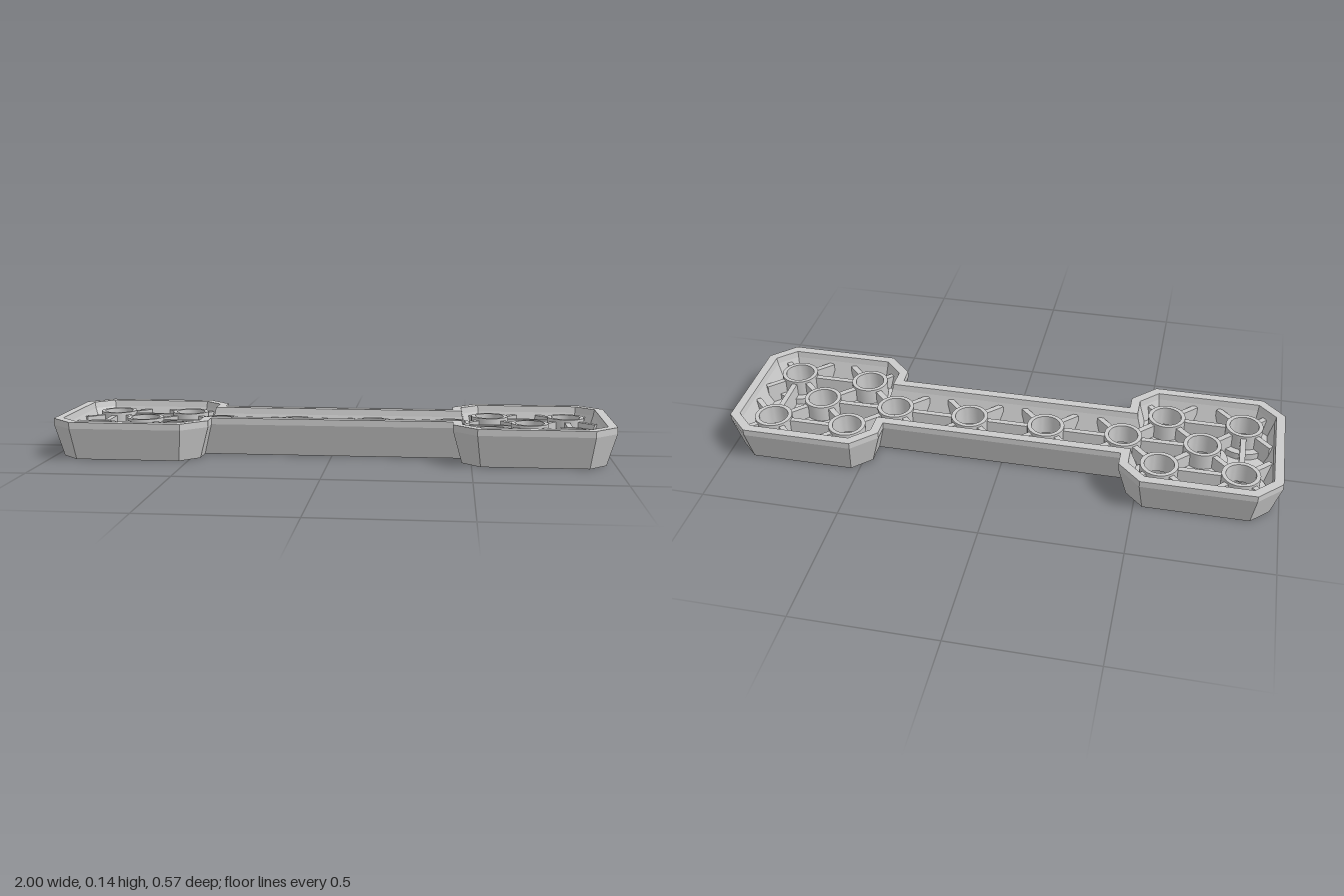
import * as THREE from 'three';
import { toCreasedNormals } from 'three/addons/utils/BufferGeometryUtils.js';

const material = new THREE.MeshStandardMaterial({ color: 0xcccccc });
const FLOOR = 0.03, RIB_TOP = 0.105, BOSS_TOP = 0.115, BOSS_R = 0.068, SEAT_R = 0.095;

// Dumbbell outline at the rim: one quarter, mirrored into a counter-clockwise loop
const quarter = [[1, 0.2], [0.917, 0.283], [0.518, 0.283], [0.435, 0.2], [0.435, 0.139]];
const half = [...quarter, ...quarter.map(([x, y]) => [-x, y]).reverse()];
const outline = [...half, ...half.map(([x, y]) => [-x, -y])];

// Outline moved inward by d, with mitred corners
function inset(d) {
  const n = outline.length;
  const normal = (a, b) => {
    const l = Math.hypot(b[0] - a[0], b[1] - a[1]);
    return [-(b[1] - a[1]) / l, (b[0] - a[0]) / l];
  };
  return outline.map((p, i) => {
    const u = normal(outline[(i + n - 1) % n], p), v = normal(p, outline[(i + 1) % n]);
    const k = d / (1 + u[0] * v[0] + u[1] * v[1]);
    return [p[0] + (u[0] + v[0]) * k, p[1] + (u[1] + v[1]) * k];
  });
}

// Skin through stacked outlines given as [inset, height]
function wallGeometry(levels) {
  const pos = [], idx = [], n = outline.length;
  for (const [d, y] of levels) for (const p of inset(d)) pos.push(p[0], y, -p[1]);
  for (let l = 0; l < levels.length - 1; l++) {
    for (let i = 0; i < n; i++) {
      const a = l * n + i, b = l * n + (i + 1) % n;
      idx.push(a, b, b + n, a, b + n, a + n);
    }
  }
  const indexed = new THREE.BufferGeometry();
  indexed.setAttribute('position', new THREE.Float32BufferAttribute(pos, 3));
  indexed.setIndex(idx);
  const geometry = indexed.toNonIndexed();
  geometry.computeVertexNormals();
  return geometry;
}

// Hole centres [x, z]
const holes = [];
for (const s of [-1, 1]) {
  for (const x of [0.143, 0.428, 0.714]) holes.push([s * x, 0]);
  for (const x of [0.573, 0.857]) for (const z of [-0.143, 0.143]) holes.push([s * x, z]);
}

export function createModel() {
  const group = new THREE.Group();
  const add = (name, geometry, parent = group) => {
    const mesh = new THREE.Mesh(geometry, material);
    mesh.name = name;
    parent.add(mesh);
    return mesh;
  };
  const subgroup = (name) => {
    const g = new THREE.Group();
    g.name = name;
    group.add(g);
    return g;
  };

  // Flared outer wall, rim and tapered pocket wall
  add('rimWall', wallGeometry([
    [0.032, 0], [0, 0.115], [0, 0.138], [0.032, 0.138], [0.036, 0.115], [0.062, FLOOR],
  ]));

  // Floor plate pierced for the bosses
  const shape = new THREE.Shape(inset(0.032).map((p) => new THREE.Vector2(...p)));
  for (const [x, z] of holes) {
    shape.holes.push(new THREE.Path().absarc(x, -z, SEAT_R, 0, Math.PI * 2, true));
  }
  const floor = new THREE.ExtrudeGeometry(shape, { depth: FLOOR, bevelEnabled: false, curveSegments: 16 });
  add('floorPlate', floor.rotateX(-Math.PI / 2));

  // Bosses: through hole above a wider counterbore
  const profile = [
    [0.082, 0], [SEAT_R, 0], [SEAT_R, 0.055], [BOSS_R, 0.055], [BOSS_R, BOSS_TOP],
    [0.053, BOSS_TOP], [0.053, 0.04], [0.074, 0.04], [0.082, 0],
  ].map((p) => new THREE.Vector2(...p));
  const bossGeometry = toCreasedNormals(new THREE.LatheGeometry(profile, 32), 0.5);
  const bosses = subgroup('bosses');
  for (const [x, z] of holes) add('boss', bossGeometry, bosses).position.set(x, 0, z);

  // Thin upright ribs between two floor points
  const ribs = subgroup('ribs');
  const rib = (x1, z1, x2, z2) => {
    const h = RIB_TOP - FLOOR;
    const mesh = add('rib', new THREE.BoxGeometry(Math.hypot(x2 - x1, z2 - z1), h, 0.02), ribs);
    mesh.position.set((x1 + x2) / 2, FLOOR + h / 2, (z1 + z2) / 2);
    mesh.rotation.y = -Math.atan2(z2 - z1, x2 - x1);
  };

  // Diagonal ribs from every boss, shorter toward chamfered corners
  for (const [x, z] of holes) {
    for (const sx of [-1, 1]) {
      for (const sz of [-1, 1]) {
        const outward = Math.sign(x) * (Math.abs(x) > 0.7 ? 1 : -1);
        const end = z * sz > 0 && sx === outward ? 0.075 : 0.1;
        rib(x + sx * 0.042, z + sz * 0.042, x + sx * end, z + sz * end);
      }
    }
  }

  // Straight ribs along rows of bosses
  const gap = 0.06;
  for (let i = -2; i <= 2; i++) rib(i * 0.2855 - 0.143 + gap, 0, i * 0.2855 + 0.143 - gap, 0);
  for (const s of [-1, 1]) {
    for (const z of [-0.143, 0.143]) rib(s * (0.573 + gap), z, s * (0.857 - gap), z);
    rib(s * 0.857, -0.143 + gap, s * 0.857, 0.143 - gap);
  }
  return group;
}
